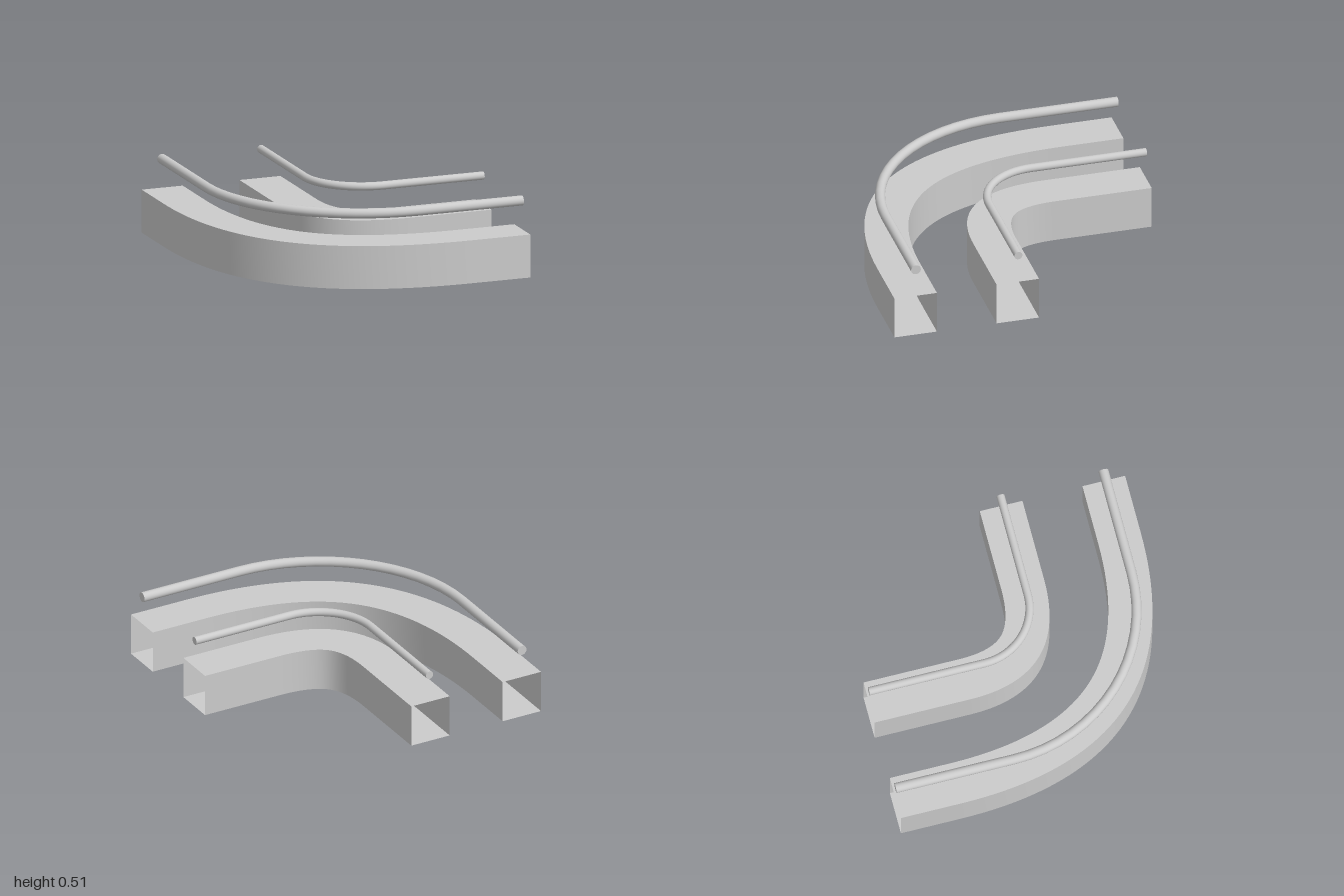
import * as THREE from 'three';

const material = new THREE.MeshStandardMaterial({ color: 0xcccccc });
const openMaterial = new THREE.MeshStandardMaterial({ color: 0xcccccc, side: THREE.DoubleSide });
const END_X = 0.96, END_Z = -1;

// Open-ended square channel; its outer edge bends around the corner (cx, cz)
function channel(name, cx, cz, startZ, endX) {
  const width = 0.286, height = 0.288, steps = 40;
  const bend = new THREE.QuadraticBezierCurve(
    new THREE.Vector2(cx, startZ), new THREE.Vector2(cx, cz), new THREE.Vector2(endX, cz));

  // Stations along the outer edge with the matching inner edge
  const stations = [];
  const add = (p, t) => stations.push([p.x, p.y, p.x + t.y * width, p.y - t.x * width]);
  add(new THREE.Vector2(cx, END_Z), new THREE.Vector2(0, 1));
  for (let i = 0; i <= steps; i++) add(bend.getPoint(i / steps), bend.getTangent(i / steps));
  add(new THREE.Vector2(END_X, cz), new THREE.Vector2(1, 0));

  const positions = [], index = [];
  const rings = stations.map(([ox, oz, ix, iz]) =>
    [[ox, 0, oz], [ox, height, oz], [ix, height, iz], [ix, 0, iz]]);

  // Four walls with separate vertices, so the long edges stay sharp
  for (let wall = 0; wall < 4; wall++) {
    const base = positions.length / 3;
    rings.forEach((ring, i) => {
      positions.push(...ring[wall], ...ring[(wall + 1) % 4]);
      if (i === 0) return;
      const a = base + (i - 1) * 2;
      index.push(a, a + 2, a + 1, a + 1, a + 2, a + 3);
    });
  }
  const geometry = new THREE.BufferGeometry();
  geometry.setAttribute('position', new THREE.Float32BufferAttribute(positions, 3));
  geometry.setIndex(index);
  geometry.computeVertexNormals();
  const mesh = new THREE.Mesh(geometry, openMaterial);
  mesh.name = name;
  return mesh;
}

// Round rail: straight, quarter arc, straight, with flat end caps
function rail(name, x, z, bendRadius, radius) {
  const y = 0.482, cx = x + bendRadius, cz = z - bendRadius, steps = 16;
  const centres = [[x, END_Z, 0]];
  for (let i = 0; i <= steps; i++) {
    const a = (i / steps) * Math.PI / 2;
    centres.push([cx - bendRadius * Math.cos(a), cz + bendRadius * Math.sin(a), a]);
  }
  centres.push([END_X, z, Math.PI / 2]);

  // Sweep a cylinder: each row of vertices moves to one station
  const sides = 20;
  const geometry = new THREE.CylinderGeometry(radius, radius, 1, sides, centres.length - 1, true);
  const pos = geometry.attributes.position;
  for (let i = 0; i < pos.count; i++) {
    const [px, pz, a] = centres[Math.floor(i / (sides + 1))];
    const across = pos.getX(i), up = pos.getZ(i);
    pos.setXYZ(i, px + across * Math.cos(a), y + up, pz - across * Math.sin(a));
  }
  // Normals follow the ring directions
  const normal = geometry.attributes.normal;
  for (let i = 0; i < pos.count; i++) {
    const [px, pz] = centres[Math.floor(i / (sides + 1))];
    normal.setXYZ(i, (pos.getX(i) - px) / radius, (pos.getY(i) - y) / radius, (pos.getZ(i) - pz) / radius);
  }
  const group = new THREE.Group();
  group.name = name;
  const tube = new THREE.Mesh(geometry, openMaterial);
  // Reverse the winding if the sweep left the faces pointing inwards
  const idx = geometry.index.array;
  const [A, B, C] = [0, 1, 2].map(k => new THREE.Vector3().fromBufferAttribute(pos, idx[k]));
  const face = B.clone().sub(A).cross(C.clone().sub(A));
  if (face.dot(new THREE.Vector3().fromBufferAttribute(normal, idx[0])) < 0) {
    for (let k = 0; k < idx.length; k += 3) [idx[k], idx[k + 1]] = [idx[k + 1], idx[k]];
  }
  tube.name = name + 'Tube';
  group.add(tube);

  // End caps
  const cap = new THREE.CircleGeometry(radius, sides);
  const backCap = new THREE.Mesh(cap, material);
  backCap.position.set(x, y, END_Z);
  backCap.rotation.y = Math.PI;
  backCap.name = name + 'BackCap';
  const sideCap = new THREE.Mesh(cap, material);
  sideCap.position.set(END_X, y, z);
  sideCap.rotation.y = Math.PI / 2;
  sideCap.name = name + 'SideCap';
  group.add(backCap, sideCap);
  return group;
}

export function createModel() {
  const model = new THREE.Group();
  model.name = 'curvedTrack';
  model.add(
    channel('outerChannel', -0.963, 1, -0.6, 0.55),
    channel('innerChannel', -0.282, 0.312, -0.36, 0.4),
    rail('outerRail', -0.822, 0.855, 1.06, 0.033),
    rail('innerRail', -0.132, 0.165, 0.39, 0.027),
  );
  return model;
}
